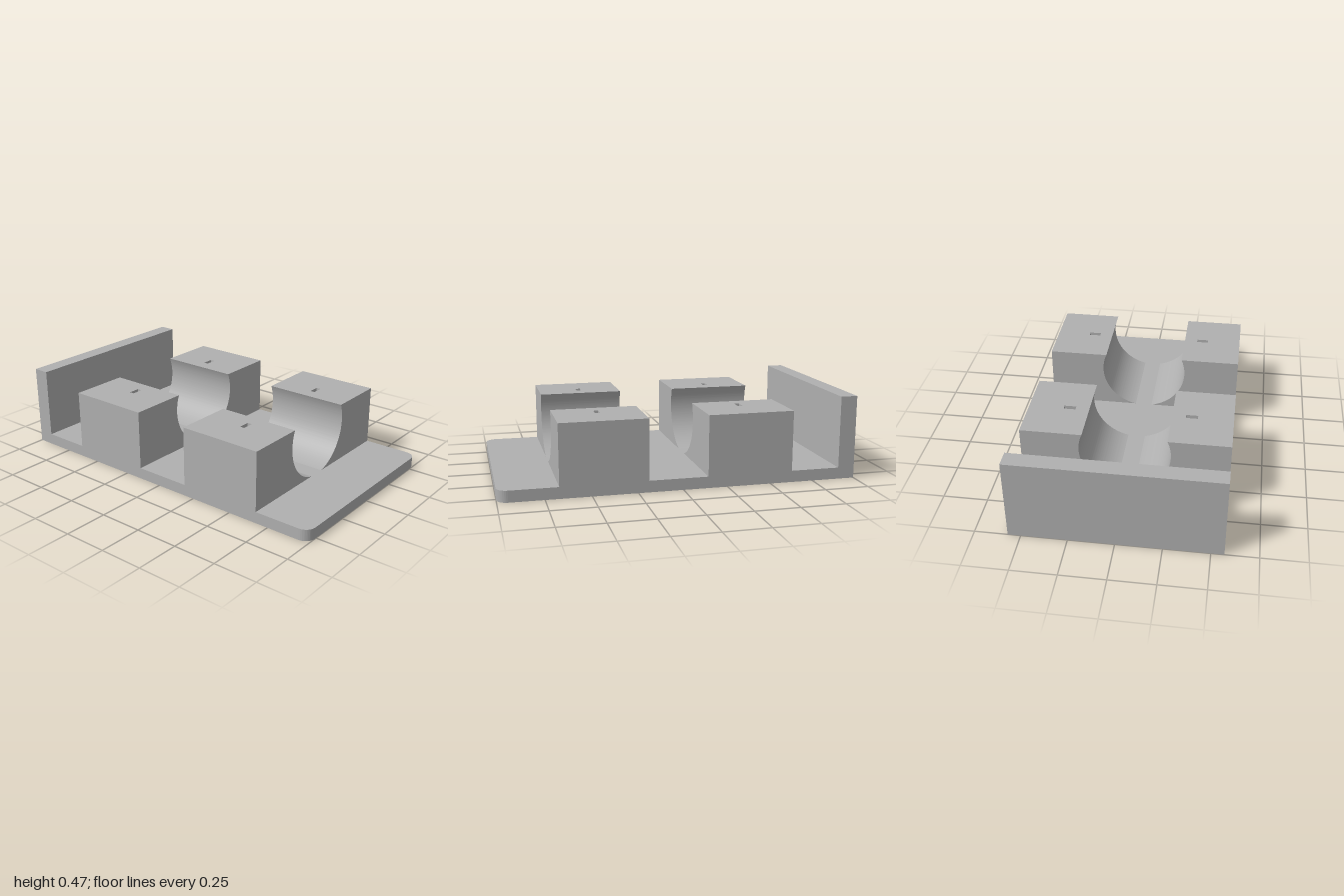
import * as THREE from 'three';
import { toCreasedNormals } from 'three/addons/utils/BufferGeometryUtils.js';

const HALF_W = 0.57, BASE_H = 0.065, BLOCK_TOP = 0.407, BLOCK_LEN = 0.485;
const BLOCK_Z = [0.4325, -0.3825];
const SPLIT_X = 0.28;                    // joint between groove part and slotted part
const GROOVE_Y = 0.31, GROOVE_R = 0.25;
const SLOT = { x: 0.34, w: 0.066, d: 0.028 };

export function createModel() {
  const grey = new THREE.MeshStandardMaterial({ color: 0xb0b0b0 });
  grey.name = 'grey';
  const model = new THREE.Group();
  model.name = 'cradleStand';

  const add = (parent, name, geometry, x = 0, y = 0, z = 0) => {
    const mesh = new THREE.Mesh(geometry, grey);
    mesh.name = name;
    mesh.position.set(x, y, z);
    parent.add(mesh);
    return mesh;
  };

  const extrude = (shape, depth) => toCreasedNormals(
    new THREE.ExtrudeGeometry(shape, { depth, bevelEnabled: false, curveSegments: 48 }), 0.6);

  // Plan shapes use (x, -z) and are raised along y
  const raise = (shape, height) => extrude(shape, height).rotateX(-Math.PI / 2);

  const rectangle = (Type, x, y, w, h) => new Type([
    [x - w / 2, y - h / 2], [x + w / 2, y - h / 2], [x + w / 2, y + h / 2], [x - w / 2, y + h / 2],
  ].map(([px, py]) => new THREE.Vector2(px, py)));

  const slot = (x, z) => rectangle(THREE.Path, x, -z, SLOT.w, SLOT.d);

  // Base plate: rounded front corners, square back corners, four slots
  const r = 0.06;
  const plate = new THREE.Shape();
  plate.moveTo(-HALF_W, 1);
  plate.lineTo(-HALF_W, -1 + r);
  plate.absarc(-HALF_W + r, -1 + r, r, Math.PI, Math.PI * 1.5, false);
  plate.absarc(HALF_W - r, -1 + r, r, Math.PI * 1.5, Math.PI * 2, false);
  plate.lineTo(HALF_W, 1);
  plate.closePath();
  for (const z of BLOCK_Z) for (const side of [1, -1]) plate.holes.push(slot(side * SLOT.x, z));
  add(model, 'basePlate', raise(plate, BASE_H));

  // Back wall
  const wallH = 0.473 - BASE_H, wallD = 0.095;
  add(model, 'backWall', new THREE.BoxGeometry(HALF_W * 2, wallH, wallD),
    0, BASE_H + wallH / 2, -1 + wallD / 2);

  // Inner half of a cradle: concave groove profile
  const topAngle = Math.asin((BLOCK_TOP - GROOVE_Y) / GROOVE_R);
  const lowAngle = Math.asin((BASE_H - GROOVE_Y) / GROOVE_R);
  const profile = new THREE.Shape();
  profile.moveTo(SPLIT_X, BASE_H);
  profile.lineTo(SPLIT_X, BLOCK_TOP);
  profile.absarc(0, GROOVE_Y, GROOVE_R, topAngle, lowAngle, true);
  profile.closePath();
  const grooveGeometry = extrude(profile, BLOCK_LEN).translate(0, 0, -BLOCK_LEN / 2);

  // Outer half of a cradle: block pierced by a vertical slot
  const outer = rectangle(THREE.Shape, (SPLIT_X + HALF_W) / 2, 0, HALF_W - SPLIT_X, BLOCK_LEN);
  outer.holes.push(slot(SLOT.x, 0));
  const outerGeometry = raise(outer, BLOCK_TOP - BASE_H).translate(0, BASE_H, 0);

  // Two cradles, each with a half turned to face the other
  BLOCK_Z.forEach((z, i) => {
    for (const [side, turn] of [['left', 0], ['right', Math.PI]]) {
      const half = new THREE.Group();
      half.name = `${side}${i ? 'Back' : 'Front'}Cradle`;
      half.position.z = z;
      half.rotation.y = turn;
      add(half, 'grooveBlock', grooveGeometry);
      add(half, 'slottedBlock', outerGeometry);
      model.add(half);
    }
  });

  return model;
}
